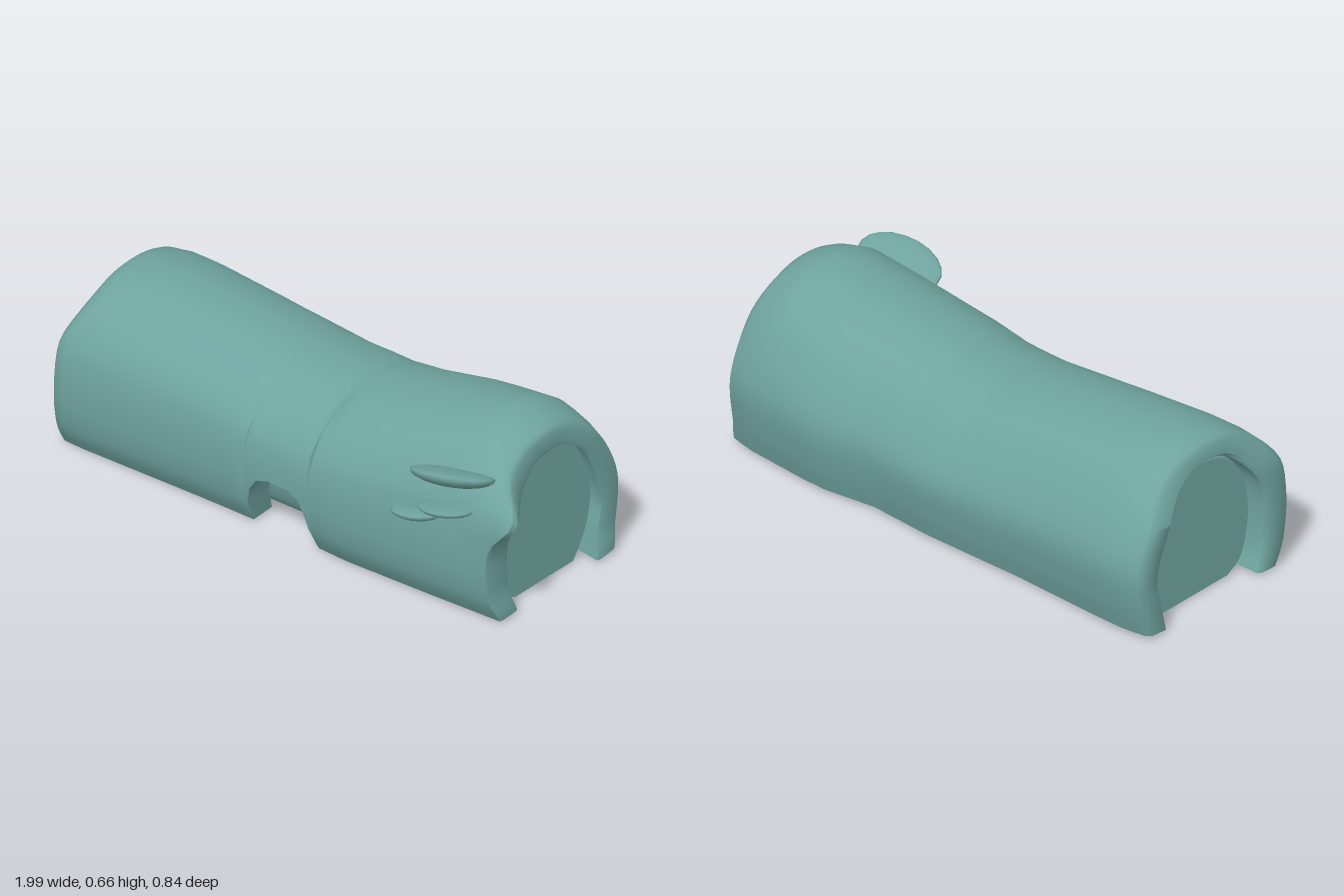
import * as THREE from 'three';
import { toCreasedNormals } from 'three/addons/utils/BufferGeometryUtils.js';

const smooth = THREE.MathUtils.smoothstep;

// Piecewise linear lookup with eased steps
function table(points) {
  return (x) => {
    if (x <= points[0][0]) return points[0][1];
    for (let i = 1; i < points.length; i++) {
      const [x0, v0] = points[i - 1], [x1, v1] = points[i];
      if (x <= x1) return v0 + (v1 - v0) * (x - x0) / (x1 - x0);
    }
    return points[points.length - 1][1];
  };
}

const curve = (pts) => new THREE.SplineCurve(pts.map(([z, y]) => new THREE.Vector2(z, y)));

// Cross-sections as (z, y), from the front foot over the top to the back foot
const outer = curve([[0.30, 0.01], [0.345, 0.1], [0.36, 0.25], [0.335, 0.42], [0.25, 0.54], [0.13, 0.615],
  [0, 0.64], [-0.12, 0.625], [-0.24, 0.565], [-0.34, 0.44], [-0.40, 0.29], [-0.39, 0.14], [-0.36, 0.02]]);
const inner = curve([[0.2, 0.015], [0.23, 0.1], [0.24, 0.25], [0.22, 0.38], [0.16, 0.475], [0.08, 0.545],
  [0, 0.56], [-0.09, 0.555], [-0.19, 0.495], [-0.26, 0.38], [-0.305, 0.23], [-0.285, 0.12], [-0.26, 0.01]]);
const coreCurve = curve([[0.13, 0.004], [0.2, 0.05], [0.235, 0.16], [0.238, 0.27], [0.212, 0.39], [0.15, 0.475],
  [0.07, 0.53], [-0.09, 0.54], [-0.2, 0.475], [-0.265, 0.37], [-0.298, 0.24], [-0.27, 0.11], [-0.2, 0.004]]);

// How the log varies along its length
const topAt = table([[-1, 0.605], [-0.9, 0.615], [-0.75, 0.615], [-0.5, 0.595], [-0.3, 0.575], [-0.1, 0.553],
  [0.1, 0.555], [0.25, 0.58], [0.45, 0.615], [0.62, 0.642], [0.74, 0.66], [0.84, 0.635], [0.9, 0.605]]);
const frontAt = table([[-1, 0.35], [-0.9, 0.355], [-0.4, 0.345], [0, 0.345], [0.25, 0.362], [0.6, 0.35], [0.9, 0.335]]);
const backAt = table([[-1, 0.40], [-0.88, 0.42], [-0.4, 0.402], [0, 0.404], [0.25, 0.386], [0.48, 0.42], [0.8, 0.39], [0.9, 0.36]]);
const doorAt = table([[-0.165, 0], [-0.155, 0.1], [-0.14, 0.17], [-0.11, 0.22], [-0.06, 0.24],
  [0.03, 0.24], [0.08, 0.215], [0.105, 0.15], [0.115, 0.1], [0.125, 0]]);

function shape(p, x) {
  const side = p.x > 0 ? frontAt(x) / 0.36 : backAt(x) / 0.40;
  return [p.x * side, p.y * (1 + (topAt(x) / 0.64 - 1) * smooth(p.y, 0, 0.5))];
}

// Curve parameter where the front side reaches height y
function startAt(c, y) {
  let lo = 0, hi = 0.4;
  if (y <= c.points[0].y) return 0;
  for (let i = 0; i < 24; i++) {
    const mid = (lo + hi) / 2;
    if (c.getPoint(mid).y < y) lo = mid; else hi = mid;
  }
  return lo;
}

// Skin a row of closed loops and zip each end shut
function loft(rings, crease) {
  const n = rings[0].length, last = (rings.length - 1) * n, index = [];
  for (let i = 0; i < rings.length - 1; i++) {
    for (let j = 0; j < n; j++) {
      const k = (j + 1) % n, a = i * n + j, d = i * n + k;
      index.push(a, a + n, d, a + n, d + n, d);
    }
  }
  for (let j = 0; j < n / 2 - 1; j++) {
    const a = j, b = j + 1, c = n - 2 - j, d = n - 1 - j;
    index.push(a, b, d, b, c, d);
    index.push(last + a, last + d, last + b, last + b, last + d, last + c);
  }
  const g = new THREE.BufferGeometry();
  g.setAttribute('position', new THREE.Float32BufferAttribute(rings.flat(2), 3));
  g.setIndex(index);
  return toCreasedNormals(g, crease);
}

// Ragged ends: sloped left rim, right rim with a protruding knot
function ragged(x, z, y) {
  const left = 0.05 * smooth(y, 0.38, 0.58) * smooth(-x, 0.75, 1);
  const knot = Math.exp(-((z - 0.285) ** 2 + (y - 0.425) ** 2) / 0.0075);
  const near = smooth(x, 0.72, 0.89);
  const right = near * (0.105 * knot + 0.015 * smooth(-y, -0.12, -0.02) - 0.015 * smooth(y, 0.48, 0.6));
  return [x + left + right, y, z + 0.02 * knot * near];
}

function barkGeometry() {
  const stations = [-1, -0.985, -0.95, -0.9, -0.82, -0.75, -0.65, -0.5, -0.4, -0.3, -0.22,
    -0.165, -0.155, -0.14, -0.125, -0.11, -0.085, -0.06, -0.015, 0.03, 0.055, 0.08, 0.093, 0.105, 0.115, 0.125,
    0.18, 0.25, 0.35, 0.45, 0.55, 0.62, 0.68, 0.74, 0.79, 0.84, 0.87, 0.885, 0.89];
  const steps = 47;
  const rings = stations.map((x, s) => {
    const round = s === 0 || s === stations.length - 1 ? 0.16 : 0; // softened rim
    const out = [], inn = [];
    const t0 = startAt(outer, doorAt(x)), t1 = startAt(inner, doorAt(x));
    for (let j = 0; j <= steps; j++) {
      const f = j / steps;
      const o = outer.getPoint(t0 + (1 - t0) * f), n = inner.getPoint(t1 + (1 - t1) * f);
      const a = o.clone().lerp(n, round), b = n.clone().lerp(o, round);
      out.push(ragged(x, ...shape(a, x)));
      inn.push(ragged(x, ...shape(b, x)));
    }
    return [...out, ...inn.reverse()];
  });
  return loft(rings, 0.9);
}

function coreGeometry() {
  const rings = [-0.92, -0.9, -0.7, -0.5, -0.3, -0.1, 0.1, 0.3, 0.5, 0.7, 0.82, 0.84].map((x, s, all) => {
    const k = s === 0 || s === all.length - 1 ? 0.97 : 1;
    return coreCurve.getPoints(39).map((p) => {
      const [z, y] = shape(p, x);
      return [x, 0.26 + (y - 0.26) * k, z * k];
    });
  });
  return loft(rings, 0.7);
}

// Shelf fungus: bowl below, shallow dome on top
function fungusGeometry(w, h, d) {
  const g = new THREE.SphereGeometry(1, 20, 12);
  const p = g.attributes.position;
  for (let i = 0; i < p.count; i++) {
    const y = p.getY(i);
    p.setXYZ(i, p.getX(i) * w, y * h * (y > 0 ? 0.5 : 1.2), p.getZ(i) * d);
  }
  g.computeVertexNormals();
  return g;
}

export function createModel() {
  const model = new THREE.Group();
  model.name = 'hollowLog';
  const teal = new THREE.MeshStandardMaterial({ color: 0x6fa39e });
  teal.name = 'mutedTeal';

  const add = (name, geometry) => {
    const mesh = new THREE.Mesh(geometry, teal);
    mesh.name = name;
    model.add(mesh);
    return mesh;
  };
  add('barkShell', barkGeometry());
  add('innerCore', coreGeometry());

  // Three shelf fungi: centre, half sizes, tilt along the log, outward lift
  [
    [0.70, 0.515, 0.285, 0.165, 0.036, 0.105, 0.17, 0.35],
    [0.715, 0.415, 0.335, 0.105, 0.022, 0.088, 0.12, 0.15],
    [0.58, 0.348, 0.325, 0.10, 0.024, 0.078, 0.15, 0.12],
  ].forEach(([x, y, z, w, h, d, tilt, lift], i) => {
    const fungus = add('shelfFungus' + (i + 1), fungusGeometry(w, h, d));
    fungus.position.set(x, y, z);
    fungus.rotation.set(-lift, 0, tilt);
  });
  return model;
}
